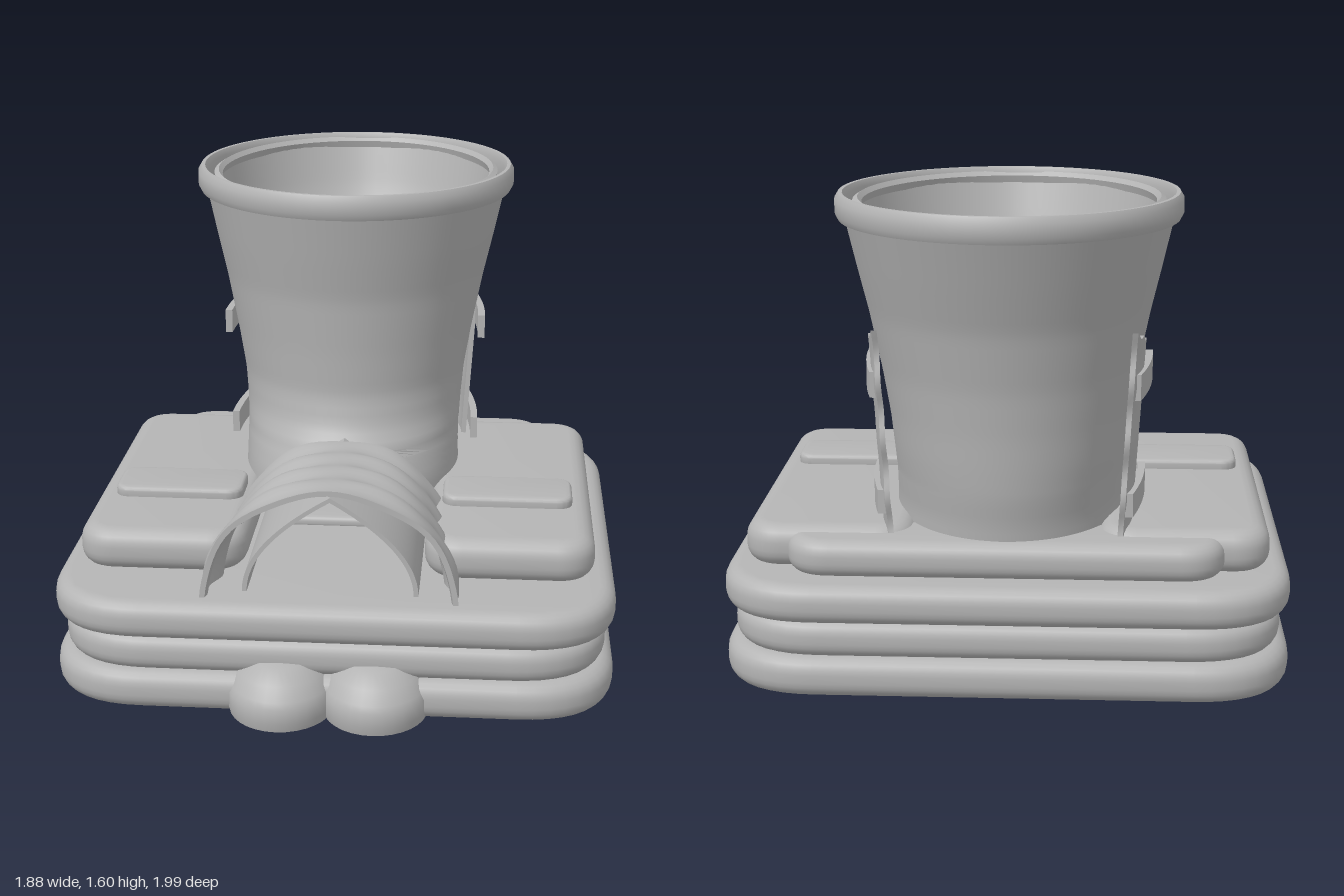
import * as THREE from 'three';
import { mergeVertices, toCreasedNormals } from 'three/addons/utils/BufferGeometryUtils.js';

const lerp = THREE.MathUtils.lerp;

export function createModel() {
  const model = new THREE.Group();
  const grey = new THREE.MeshStandardMaterial({ color: 0xb4b4b4, side: THREE.DoubleSide });
  grey.name = 'grey vinyl';

  const add = (name, geometry) => {
    const mesh = new THREE.Mesh(geometry, grey);
    mesh.name = name;
    model.add(mesh);
    return mesh;
  };

  // Grid surface from a rule fn(u, v) -> [x, y, z]
  const surface = (fn, nu, nv, crease = 0.7) => {
    const pos = [], index = [];
    for (let j = 0; j <= nv; j++) {
      for (let i = 0; i <= nu; i++) {
        pos.push(...fn(i / nu, j / nv));
        if (i < nu && j < nv) {
          const a = j * (nu + 1) + i, b = a + nu + 1;
          index.push(a, a + 1, b, a + 1, b + 1, b);
        }
      }
    }
    const g = new THREE.BufferGeometry();
    g.setAttribute('position', new THREE.Float32BufferAttribute(pos, 3));
    g.setIndex(index);
    return toCreasedNormals(mergeVertices(g, 1e-4), crease);
  };

  // Puffy cushion with a rounded rectangular plan
  const cushion = (name, x0, x1, z0, z1, y0, y1, r, puff = 0.4) => {
    const b = (y1 - y0) * puff, s = new THREE.Shape();
    const l = x0 + b, t = x1 - b, d = -z1 + b, u = -z0 - b;
    s.moveTo(l + r, d).lineTo(t - r, d).quadraticCurveTo(t, d, t, d + r);
    s.lineTo(t, u - r).quadraticCurveTo(t, u, t - r, u);
    s.lineTo(l + r, u).quadraticCurveTo(l, u, l, u - r);
    s.lineTo(l, d + r).quadraticCurveTo(l, d, l + r, d);
    const g = new THREE.ExtrudeGeometry(s, {
      depth: y1 - y0 - 2 * b, bevelThickness: b, bevelSize: b, bevelSegments: 5, curveSegments: 10,
    });
    g.rotateX(-Math.PI / 2).translate(0, y0 + b, 0);
    return add(name, toCreasedNormals(g, 0.6));
  };

  // Stacked base tubes and the upper deck
  cushion('bottomTube', -0.94, 0.94, -0.88, 0.88, 0, 0.137, 0.27);
  cushion('middleTube', -0.91, 0.91, -0.86, 0.86, 0.13, 0.258, 0.27);
  cushion('topTube', -0.94, 0.94, -0.88, 0.88, 0.25, 0.38, 0.27);
  cushion('backDeck', -0.72, 0.72, -0.78, -0.5, 0.375, 0.5, 0.1);
  for (const s of [-1, 1]) {
    const [a, b] = s > 0 ? [0.3, 0.87] : [-0.87, -0.3];
    cushion('sideDeck', a, b, -0.68, 0.61, 0.375, 0.52, 0.07);
    const [c, d] = s > 0 ? [0.35, 0.8] : [-0.8, -0.35];
    cushion('deckPad', c, d, 0.06, 0.28, 0.5, 0.555, 0.04, 0.3);
  }

  // Front step with two lobes
  const lobe = [[0, 0], [0.96, 0], [1, 0.03], [1, 0.08], [0.94, 0.1], [0.8, 0.145], [0.5, 0.18], [0, 0.19]]
    .map(([x, y]) => new THREE.Vector2(x, y));
  for (const s of [-1, 1]) {
    const g = new THREE.LatheGeometry(lobe, 32);
    g.scale(0.18, 1, 0.2).translate(s * 0.155, 0, 0.795);
    add('stepLobe', toCreasedNormals(g, 0.8));
  }

  // Tower rows: height, half width, front z, back z
  const outerRows = [
    [0.38, 0.4, 0.26, -0.72], [0.55, 0.39, 0.25, -0.74], [0.65, 0.39, 0.2, -0.76], [0.74, 0.395, 0.135, -0.77],
    [0.85, 0.405, 0.11, -0.78], [1.0, 0.43, 0.12, -0.8], [1.2, 0.47, 0.14, -0.845], [1.35, 0.505, 0.175, -0.9],
    [1.53, 0.545, 0.215, -0.965],
  ];
  const innerRows = [
    [0.38, 0.34, 0.2, -0.7], [0.6, 0.34, 0.14, -0.7], [0.72, 0.35, 0.09, -0.71], [0.9, 0.37, 0.08, -0.73],
    [1.2, 0.43, 0.11, -0.81], [1.4, 0.475, 0.165, -0.91], [1.57, 0.505, 0.225, -0.975],
  ];
  const rowAt = (rows, y) => {
    let i = 0;
    while (i < rows.length - 2 && y > rows[i + 1][0]) i++;
    const t = (y - rows[i][0]) / (rows[i + 1][0] - rows[i][0]);
    return rows[i].map((v, k) => lerp(v, rows[i + 1][k], t));
  };
  // Walls leave a doorway at the front, below doorTop
  const wall = (rows, doorWidth, doorTop, point) => {
    const y0 = rows[0][0], y1 = rows[rows.length - 1][0];
    return surface((u, v) => {
      const y = lerp(y0, y1, v);
      const [, rx, zf, zb] = rowAt(rows, y);
      const k = Math.min(1, (y - y0) / (doorTop - y0));
      const gap = Math.asin(Math.min(0.95, doorWidth * Math.sqrt(1 - k * k) / rx));
      const a = lerp(gap, Math.PI * 2 - gap, u), sn = Math.sin(a);
      return [rx * Math.sign(sn) * Math.abs(sn) ** point, y, (zf + zb) / 2 + (zf - zb) / 2 * Math.cos(a)];
    }, 64, 40, 1.2);
  };
  add('towerOuterWall', wall(outerRows, 0.34, 0.66, 1));
  add('towerInnerWall', wall(innerRows, 0.27, 0.66, 1.1));

  // Rim bands: a small cross-section swept round an ellipse
  const rim = (name, section, rx, rz, zc) => add(name, surface((u, v) => {
    const [o, y] = section[Math.round(v * (section.length - 1))], a = u * Math.PI * 2;
    return [(rx + o) * Math.sin(a), y, zc + (rz + o) * Math.cos(a)];
  }, 72, section.length - 1, 0.9));
  rim('outerRim', [[-0.03, 1.51], [-0.01, 1.51], [0, 1.53], [0, 1.575], [-0.012, 1.595], [-0.025, 1.595],
    [-0.035, 1.575], [-0.03, 1.51]], 0.572, 0.622, -0.375);
  rim('innerRim', [[0, 1.54], [0.008, 1.57], [-0.008, 1.58], [-0.022, 1.565], [-0.015, 1.54], [0, 1.54]],
    0.505, 0.6, -0.375);

  // Entrance tunnel: shells with thickness, swept along z
  const shell = (name, zBack, zFront, thick, section) => {
    const n = 24, half = n + 1;
    add(name, surface((u, v) => {
      const j = Math.round(v * (2 * half)), outside = j <= n;
      const k = outside ? j / n : Math.max(0, 1 - (j - half) / n);
      const z = lerp(zBack, zFront, j === 2 * half ? 0 : k);
      return section(u * Math.PI, z, j === 2 * half || outside ? 0 : thick);
    }, 40, 2 * half, 0.8));
  };
  shell('tunnelCanopy', 0.2, 0.8, 0.018, (t, z, o) => {
    const k = (z - 0.2) / 0.6, ripple = 0.009 * Math.sin(z * 38) * (1 + 0.6 * Math.sin(t * 7));
    const w = 0.365 + 0.065 * k * k + ripple - o;
    const h = 0.335 + 0.05 * k + ripple - o;
    return [w * Math.cos(t), 0.38 + h * Math.sin(t), z];
  });
  shell('tunnelLining', 0.0, 0.74, 0.016, (t, z, o) => {
    const s = 1 - Math.abs(1 - t / Math.PI * 2), side = t < Math.PI / 2 ? 1 : -1;
    return [side * (0.29 - o) * (1 - s ** 2), 0.38 + (0.335 - o) * s, z];
  });

  // Inside: floor, hood and pointed fringe
  cushion('innerFloor', -0.24, 0.24, -0.45, 0.15, 0.37, 0.41, 0.04);
  const hood = new THREE.SphereGeometry(1, 32, 12, Math.PI, Math.PI, 0, Math.PI / 2);
  hood.rotateY(Math.PI).scale(0.27, 0.31, 0.31);
  hood.computeBoundingBox();
  if (hood.boundingBox.max.z > 0.1) hood.rotateY(Math.PI);
  add('hood', hood).position.set(0, 0.38, -0.38);
  for (const x of [-0.18, -0.06, 0.06, 0.18]) {
    const spike = new THREE.ConeGeometry(0.05, 0.14, 12);
    spike.rotateX(Math.PI / 2).scale(1, 0.3, 1);
    add('fringe', spike).position.set(x, 0.43, -0.31);
  }

  // Side panels with ragged edges, and the straps that hold them
  const plate = (name, rule, ny) => {
    const g = new THREE.BoxGeometry(1, 1, 1, 1, ny, 10), p = g.attributes.position;
    for (let i = 0; i < p.count; i++) {
      p.setXYZ(i, ...rule(p.getX(i) + 0.5, p.getY(i) + 0.5, 0.5 - p.getZ(i)));
    }
    g.deleteAttribute('normal');
    g.deleteAttribute('uv');
    add(name, toCreasedNormals(mergeVertices(g), 0.6));
  };
  for (const s of [-1, 1]) {
    const flip = (t) => (s > 0 ? t : 1 - t);
    plate('sidePanel', (a, b, c) => {
      const y = lerp(0.48, 1.12 + 0.06 * c + 0.008 * Math.sin(c * 14), b);
      const back = -0.67 - 0.03 * b + 0.012 * Math.sin(b * 23);
      return [s * (0.395 + 0.04 * b - 0.03 * c * c + 0.018 * flip(a)), y, lerp(-0.5, back, c)];
    }, 24);
    for (const [y0, y1, x] of [[0.96, 1.045, 0.48], [0.57, 0.65, 0.46]]) {
      plate('strap', (a, b, c) => [
        s * (x - 0.045 * c * c - 0.025 * (1 - flip(a))), lerp(y0, y1, b), lerp(-0.3, -0.675, c),
      ], 2);
    }
  }

  return model;
}
